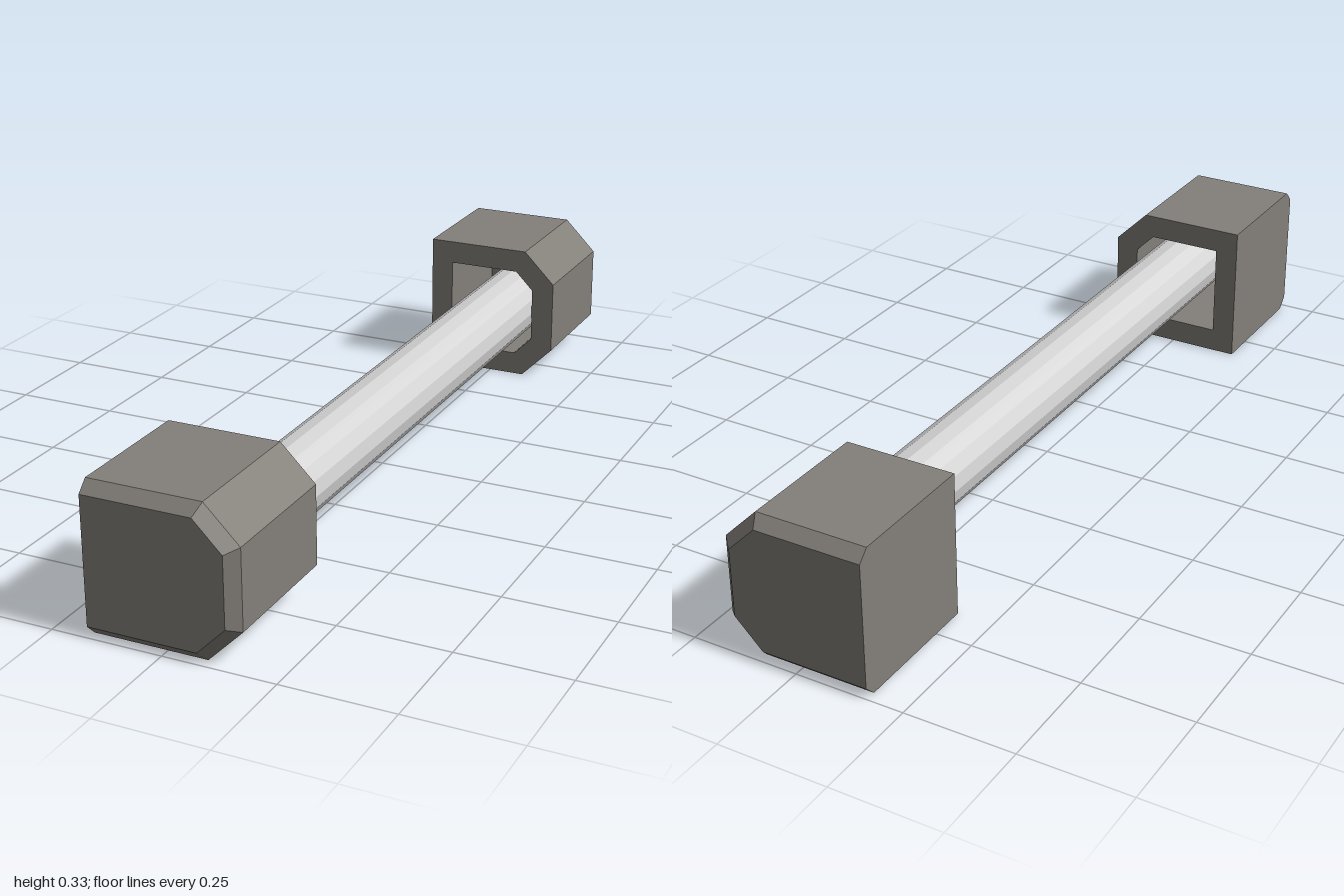
import * as THREE from 'three';

const MID_Y = 0.167;

// Square outline with its two +x corners cut, counter-clockwise seen from +z.
function outline(left, right, half, cut, z) {
  return [
    [left, -half], [right - cut, -half], [right, -half + cut],
    [right, half - cut], [right - cut, half], [left, half],
  ].map(([x, y]) => [x, y, z]);
}

// Skin a series of loops and close both ends, with flat faces.
function loft(loops) {
  const pos = [];
  const tri = (a, b, c) => pos.push(...a, ...b, ...c);
  const n = loops[0].length;
  for (let k = 0; k < loops.length - 1; k++) {
    const p = loops[k], q = loops[k + 1];
    for (let i = 0; i < n; i++) {
      const j = (i + 1) % n;
      tri(p[i], p[j], q[j]);
      tri(p[i], q[j], q[i]);
    }
  }
  const first = loops[0], last = loops[loops.length - 1];
  for (let i = 1; i < n - 1; i++) {
    tri(first[0], first[i + 1], first[i]);
    tri(last[0], last[i], last[i + 1]);
  }
  const g = new THREE.BufferGeometry();
  g.setAttribute('position', new THREE.Float32BufferAttribute(pos, 3));
  g.computeVertexNormals();
  return g;
}

export function createModel() {
  const capMat = new THREE.MeshStandardMaterial({ color: 0x837f79, flatShading: true });
  capMat.name = 'warmGrey';
  const rodMat = new THREE.MeshStandardMaterial({ color: 0xd4d4d4, flatShading: true });
  rodMat.name = 'lightGrey';

  const model = new THREE.Group();
  model.name = 'barWithEndCaps';

  // Hollow end cap: socket floor, socket mouth, rim, outer wall, bevelled end face
  const capGeo = loft([
    outline(-0.111, 0.111, 0.111, 0.045, 0.945),
    outline(-0.111, 0.111, 0.111, 0.045, 0.667),
    outline(-0.167, 0.167, 0.167, 0.078, 0.667),
    outline(-0.167, 0.167, 0.167, 0.078, 0.975),
    outline(-0.167, 0.142, 0.142, 0.064, 1),
  ]);
  for (const [name, turn] of [['frontCap', 0], ['backCap', Math.PI]]) {
    const cap = new THREE.Mesh(capGeo, capMat);
    cap.name = name;
    cap.position.y = MID_Y;
    cap.rotation.x = turn;
    model.add(cap);
  }

  // Sixteen-sided rod running into both sockets
  const rod = new THREE.Mesh(new THREE.CylinderGeometry(0.083, 0.083, 1.89, 16), rodMat);
  rod.name = 'rod';
  rod.rotation.x = Math.PI / 2;
  rod.position.set(0.025, MID_Y, 0);
  model.add(rod);

  return model;
}
